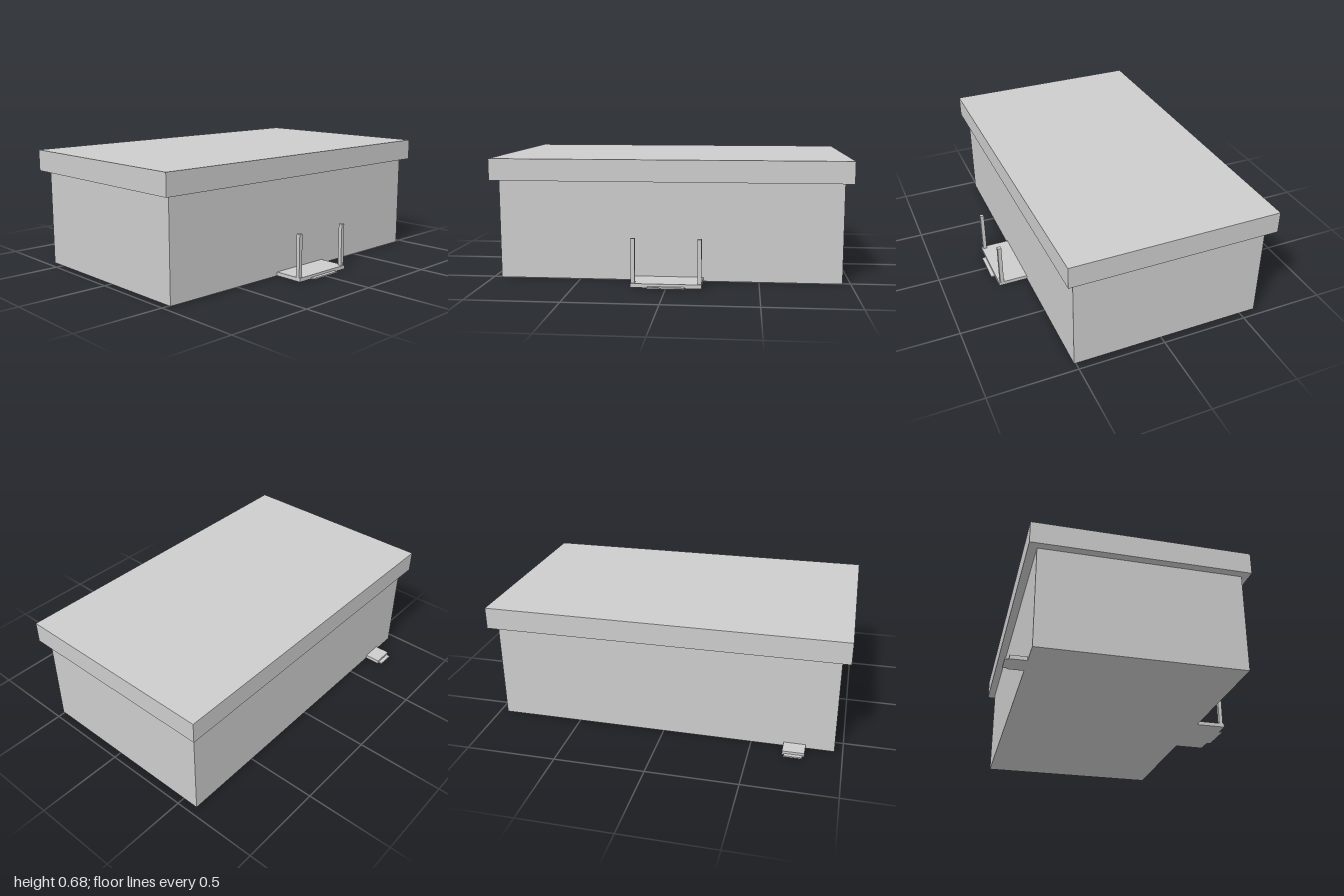
import * as THREE from 'three';

export function createModel() {
  const model = new THREE.Group();
  model.name = 'flatRoofBuilding';
  const plaster = new THREE.MeshStandardMaterial({ name: 'lightGrey', color: 0xcccccc });

  // Adds a box given by its extents on each axis
  function box(name, [x0, x1], [y0, y1], [z0, z1]) {
    const geometry = new THREE.BoxGeometry(x1 - x0, y1 - y0, z1 - z0);
    const mesh = new THREE.Mesh(geometry, plaster);
    mesh.position.set((x0 + x1) / 2, (y0 + y1) / 2, (z0 + z1) / 2);
    mesh.name = name;
    model.add(mesh);
  }

  // Main volume and overhanging roof slab
  box('walls', [-0.955, 0.955], [0, 0.556], [-0.593, 0.51]);
  box('roof', [-1, 1], [0.556, 0.678], [-0.638, 0.55]);

  // Front porch with a lower step and two posts
  box('porch', [-0.192, 0.192], [0, 0.022], [0.51, 0.682]);
  box('frontStep', [-0.1, 0.1], [0, 0.008], [0.682, 0.704]);
  for (const side of [-1, 1]) {
    const x = side * 0.18;
    box(side > 0 ? 'leftPost' : 'rightPost', [x - 0.011, x + 0.011], [0.022, 0.266], [0.652, 0.674]);
  }

  // Small landing and step at the back door
  box('backLanding', [-0.8, -0.68], [0, 0.022], [-0.682, -0.593]);
  box('backStep', [-0.79, -0.69], [0, 0.008], [-0.704, -0.682]);

  return model;
}
